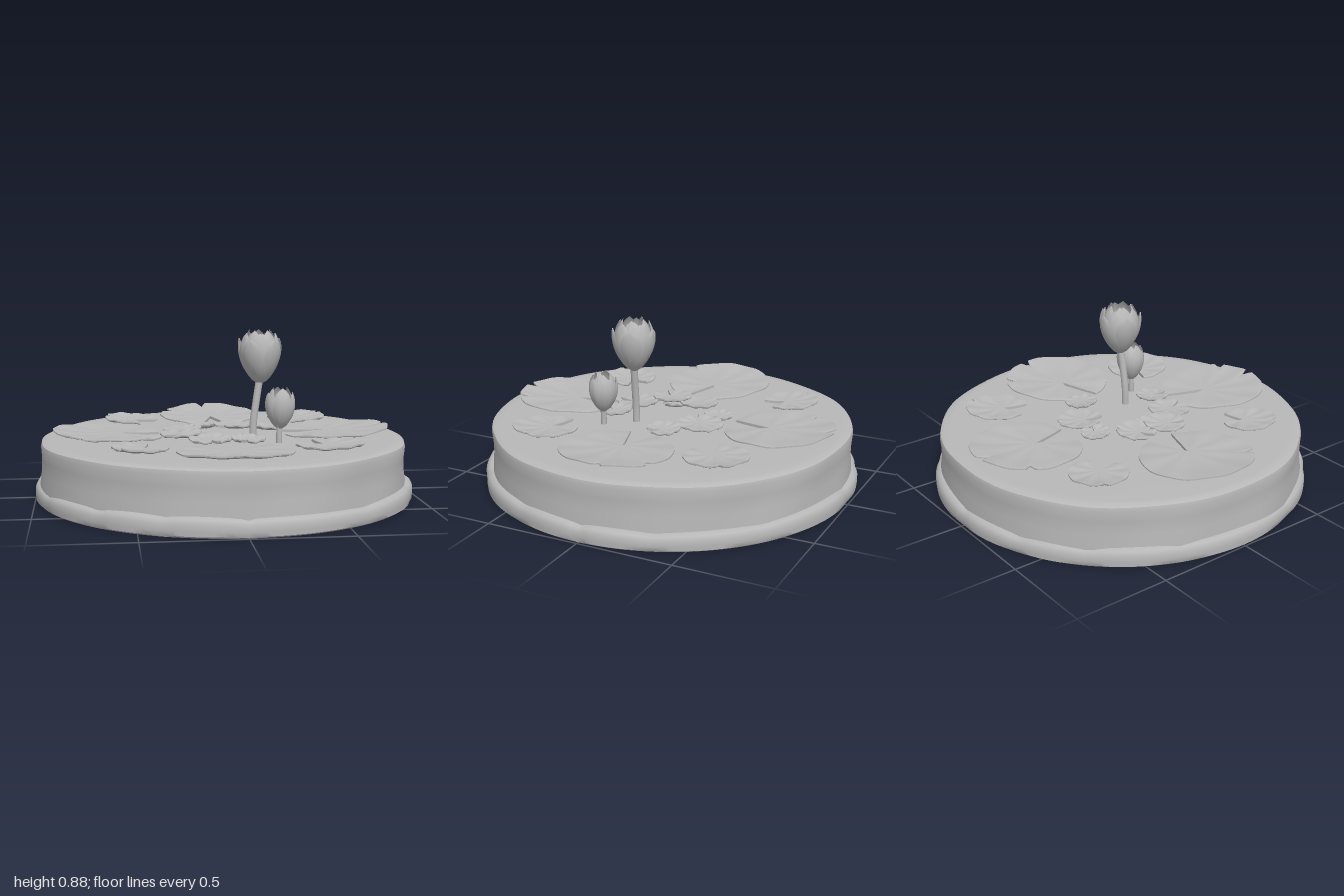
import * as THREE from 'three';
import { toCreasedNormals } from 'three/addons/utils/BufferGeometryUtils.js';

const TAU = Math.PI * 2;

// Smooth sheet from a rule: point(i, j) returns [x, y, z] over nu by nv cells
function sheet(nu, nv, point, crease = 0.7) {
  const pos = [], index = [], w = nv + 1;
  for (let i = 0; i <= nu; i++) for (let j = 0; j <= nv; j++) pos.push(...point(i, j));
  for (let i = 0; i < nu; i++) for (let j = 0; j < nv; j++) {
    const a = i * w + j, b = a + w;
    index.push(a, b, a + 1, b, b + 1, a + 1);
  }
  const g = new THREE.BufferGeometry();
  g.setAttribute('position', new THREE.Float32BufferAttribute(pos, 3));
  g.setIndex(index);
  return toCreasedNormals(g, crease);
}

// Revolved profile, listed from the top down, with a wobble rule
function turned(profile, wobble) {
  const n = 160;
  return sheet(n, profile.length - 1, (i, j) => {
    const a = (i % n) / n * TAU;
    const [r, y] = wobble(a, ...profile[j]);
    return [r * Math.cos(a), y, r * Math.sin(a)];
  }, 0.8);
}

// Notched lily pad with curled rim, tilted up away from the pond centre
function padGeometry({ x, z, r, notch, half, nicks = [], y = 0.338, tilt = 0.015 }) {
  const n = 120, thick = 0.014;
  const rows = [[0, 0], [0.25, 0], [0.5, 0], [0.75, 0], [0.93, 0], [1, -0.3], [1, -0.8], [0.93, -1], [0.5, -1], [0, -1]];
  const out = Math.atan2(z, x);
  const ax = 0.22 * r * Math.cos(notch), az = 0.22 * r * Math.sin(notch);
  return sheet(n + 2, rows.length - 1, (i, j) => {
    // the first and last columns pinch shut to close the notch walls
    const closed = i === 0 || i === n + 2;
    const k = (Math.min(Math.max(i, 1), n + 1) - 1) / n;
    const a = notch + half + k * (TAU - 2 * half);
    let rim = r * (1 + 0.015 * Math.sin(3 * a + x * 9));
    for (const q of nicks) {
      const d = Math.abs(Math.atan2(Math.sin(a - q), Math.cos(a - q)));
      rim *= 1 - 0.2 * Math.max(0, 1 - d / 0.085);
    }
    const [s, t] = rows[j];
    const px = ax + s * (rim * Math.cos(a) - ax), pz = az + s * (rim * Math.sin(a) - az);
    const d2 = (px * px + pz * pz) / (r * r);
    const lift = (px * Math.cos(out) + pz * Math.sin(out)) / r;
    const h = y + 0.012 * d2 * d2 + tilt * lift * Math.abs(lift) + 0.0025 * s * Math.sin(9 * a);
    return [x + px, h + thick * (closed ? -0.5 : t), z + pz];
  });
}

// Cupped petal: R widest radius, close bends the tip inward
function petalGeometry(R, H, close, half) {
  const nu = 10, nv = 14;
  return sheet(nu, nv, (i, j) => {
    const t = j / nv, u = 1 - 2 * i / nu;
    const r = 0.012 + R * Math.pow(Math.max(0, Math.sin(Math.PI * t * close)), 0.7) * (1 - 0.05 * u * u);
    const a = u * half * Math.sqrt(Math.max(0, 1 - (2 * t - 0.9) ** 2 / 1.21));
    return [r * Math.cos(a), t * H, r * Math.sin(a)];
  });
}

export function createModel() {
  const model = new THREE.Group();
  const stone = new THREE.MeshStandardMaterial({ color: 0xb8b8b8, side: THREE.DoubleSide });
  stone.name = 'plain grey';
  const add = (parent, name, geometry) => {
    const m = new THREE.Mesh(geometry, stone);
    m.name = name;
    parent.add(m);
    return m;
  };

  // Pond body, with a softly uneven wall
  const body = add(model, 'pondBody', turned(
    [[0, 0.314], [0.5, 0.314], [0.9, 0.314], [0.94, 0.313], [0.957, 0.305], [0.962, 0.285], [0.957, 0.23], [0.957, 0.16], [0.965, 0.1], [0.965, 0.02]],
    (a, r, y) => [r + (r > 0.92 ? 0.004 * Math.sin(5 * a) + 0.003 * Math.sin(11 * a + y * 8) : 0), y]));
  body.position.x = -0.008;

  // Lumpy stone skirt around the foot, with a flat underside
  add(model, 'stoneSkirt', turned(
    [[0.94, 0.085], [0.965, 0.09], [0.982, 0.08], [0.992, 0.06], [0.992, 0.03], [0.99, 0.008], [0.985, 0], [0, 0]],
    (a, r, y) => {
      const lump = Math.abs(Math.sin(6.5 * a + 0.8 * Math.sin(3 * a)));
      const k = r > 0.95 && y > 0 ? 1 : 0;
      return [r + k * (0.013 * Math.sqrt(lump) - 0.005), y * (0.88 + 0.17 * Math.sqrt(lump) + 0.05 * Math.sin(4 * a))];
    }));

  // Large and small pads, each notched toward the pond centre
  const pads = new THREE.Group();
  pads.name = 'lilyPads';
  model.add(pads);
  const ring = [
    [-0.02, -0.615, 0.285, 0.25, [-1.65, -2.65]],
    [0.6, 0, 0.285, 0.26, [-1.08, -0.14]],
    [-0.02, 0.635, 0.285, 0.28, [1.6, 0.9]],
    [-0.62, 0, 0.288, 0.26, [2.15]],
    [-0.48, -0.5, 0.148, 0.42, [-2.75]],
    [0.475, -0.48, 0.165, 0.42, [-0.5]],
    [-0.47, 0.5, 0.142, 0.42, [2.4]],
    [0.475, 0.49, 0.17, 0.36, [0.1]],
  ];
  ring.forEach(([x, z, r, half, nicks], i) => add(pads, i < 4 ? 'largePad' : 'smallPad',
    padGeometry({ x, z, r, half, nicks, notch: Math.atan2(-z, -x), tilt: i < 4 ? 0.022 : 0.01 })));

  // Overlapping young leaves: x, z, radius, notch direction
  const young = [
    [-0.095, -0.235, 0.075, 0.2], [0.08, -0.21, 0.118, 2.4], [-0.22, -0.06, 0.105, 3.0],
    [-0.24, 0.11, 0.108, 2.2], [-0.175, 0.06, 0.07, 0.8], [-0.1, 0.255, 0.112, 1.4],
    [0.09, 0.29, 0.088, 1.9], [0.25, -0.08, 0.088, 0.6],
  ];
  young.forEach(([x, z, r, notch], i) => add(pads, 'youngLeaf',
    padGeometry({ x, z, r, notch, half: 0.22, nicks: [notch + 2.5], y: 0.333 + 0.004 * (i % 4), tilt: -0.006 })));

  // Lotus flower: curved stem, closed heart and whorls of petals
  function flower(name, stem, stemR, top, height, whorls) {
    const g = new THREE.Group();
    g.name = name;
    model.add(g);
    const path = new THREE.CatmullRomCurve3(stem.map(p => new THREE.Vector3(...p)));
    add(g, 'stem', new THREE.TubeGeometry(path, 20, stemR, 14));
    const head = new THREE.Group();
    head.name = 'bloom';
    head.position.set(...top);
    g.add(head);
    const R = whorls[0][1] * 0.8;
    const heart = [];
    for (let j = 0; j <= 16; j++) {
      const t = j / 16;
      heart.push(new THREE.Vector2(Math.max(0.0001, R * Math.pow(Math.sin(Math.PI * t), 0.75)), t * height * 0.93));
    }
    add(head, 'heart', new THREE.LatheGeometry(heart, 28));
    for (const [count, r, h, close, half, turn] of whorls) {
      const geometry = petalGeometry(r, h, close, half);
      for (let i = 0; i < count; i++) add(head, 'petal', geometry).rotation.y = turn + i / count * TAU;
    }
  }
  flower('openFlower', [[0.135, 0.3, 0.14], [0.137, 0.4, 0.14], [0.15, 0.5, 0.138], [0.17, 0.63, 0.133]], 0.019,
    [0.172, 0.605, 0.13], 0.28,
    [[5, 0.084, 0.28, 0.87, 0.75, 0.3], [5, 0.094, 0.265, 0.78, 0.7, 0.95], [5, 0.104, 0.235, 0.6, 0.58, 0.32]]);
  flower('flowerBud', [[0.252, 0.3, 0.272], [0.252, 0.35, 0.272], [0.255, 0.41, 0.27]], 0.015,
    [0.256, 0.388, 0.27], 0.212,
    [[4, 0.058, 0.212, 0.9, 0.9, 0.2], [5, 0.066, 0.19, 0.74, 0.62, 0.9]]);

  return model;
}
